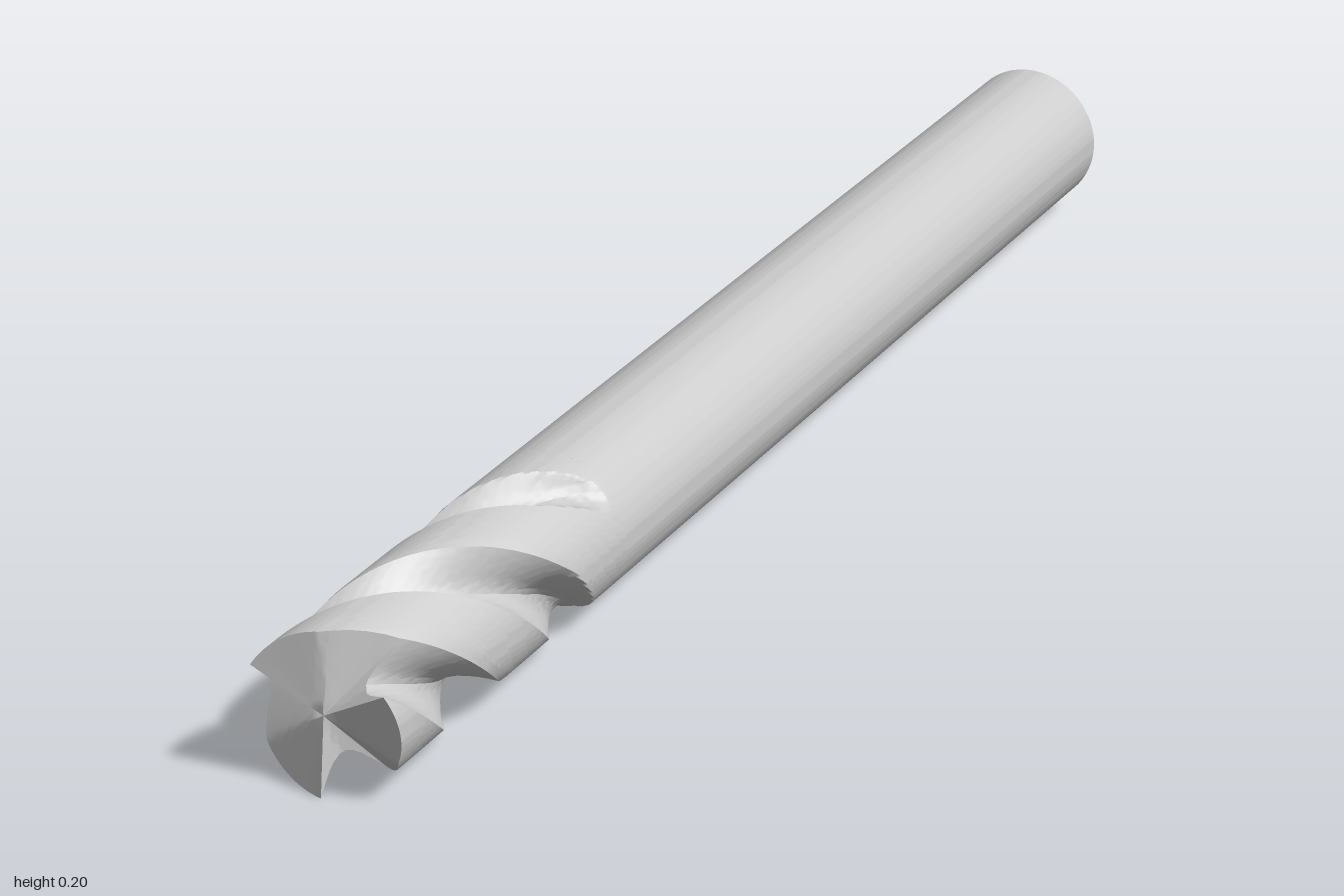
import * as THREE from 'three';
import { toCreasedNormals } from 'three/addons/utils/BufferGeometryUtils.js';

const R = 0.1, Z0 = 0.45, TWIST = 480, FLUTES = 3, PITCH = 120;
const COLS = 48, ROWS = 80, RINGS = 10;

// piecewise-linear lookup in a list of [x, value]
function lookup(list, x) {
  let i = 1;
  while (i < list.length - 1 && list[i][0] < x) i++;
  const [x0, y0] = list[i - 1], [x1, y1] = list[i];
  return y0 + (y1 - y0) * (x - x0) / (x1 - x0);
}

// flute section: degrees past the cutting edge, radius
const SECTION = [[0, 0.1], [5, 0.084], [10, 0.071], [15, 0.063], [22.5, 0.057], [30, 0.055],
  [37.5, 0.058], [45, 0.066], [52.5, 0.079], [62.5, 0.099], [70, 0.1], [120, 0.1]];
// end gash: degrees past the cutting edge, depth at the rim
const GASH = [[0, 0], [8, 0.05], [22, 0.085], [63, 0.022], [120, 0]];

// radius of the fluted part; the flutes run out towards the shank
function radius(off, z) {
  const f = Math.pow(THREE.MathUtils.clamp((z - 0.46) / 0.13, 0, 1), 0.6);
  return Math.min(R, lookup(SECTION, off) + 0.05 * (1 - f));
}

// depth of the tip surface below z = 1, slightly dished at the centre
function tipDepth(angle, r) {
  const a = THREE.MathUtils.euclideanModulo(angle, PITCH);
  return lookup(GASH, a) * r / R + 0.012 * (1 - r / R);
}

// depth at which a helical column meets the tip surface
function columnDepth(off) {
  const r = lookup(SECTION, off);
  let lo = 0, hi = 0.12;
  for (let i = 0; i < 30; i++) {
    const d = (lo + hi) / 2;
    if (tipDepth(off - TWIST * d, r) > d) lo = d; else hi = d;
  }
  return lo;
}

function cuttingGeometry() {
  const pos = [], index = [], n = COLS * FLUTES, rows = ROWS + RINGS;
  const put = (deg, r, z) => {
    const t = THREE.MathUtils.degToRad(deg + 30);
    pos.push(r * Math.cos(t), r * Math.sin(t), z);
  };
  for (let i = 0; i < n; i++) {
    const off = (i % COLS) * PITCH / COLS, base = Math.floor(i / COLS) * PITCH;
    const depth = columnDepth(off), end = 1 - depth;
    // helical side
    for (let j = 0; j <= ROWS; j++) {
      const z = Z0 + (end - Z0) * j / ROWS;
      put(base + off + TWIST * (z - 1), radius(off, z), z);
    }
    // tip face, running in to the centre
    const a = off - TWIST * depth, rim = radius(off, end);
    for (let k = 1; k <= RINGS; k++) {
      const r = rim * (1 - k / RINGS);
      put(base + a, r, 1 - tipDepth(a, r));
    }
  }
  const at = (i, j) => (i % n) * (rows + 1) + j;
  for (let i = 0; i < n; i++) {
    for (let j = 0; j < rows; j++) {
      index.push(at(i, j), at(i + 1, j), at(i, j + 1));
      if (j < rows - 1) index.push(at(i + 1, j), at(i + 1, j + 1), at(i, j + 1));
    }
  }
  const g = new THREE.BufferGeometry();
  g.setAttribute('position', new THREE.Float32BufferAttribute(pos, 3));
  g.setIndex(index);
  return toCreasedNormals(g, 0.5);
}

export function createModel() {
  const group = new THREE.Group();
  group.name = 'endMill';
  const material = new THREE.MeshStandardMaterial({ color: 0xcccccc });
  const add = (name, geometry) => {
    const mesh = new THREE.Mesh(geometry, material);
    mesh.name = name;
    mesh.position.y = R;
    group.add(mesh);
  };

  // round shank with a flat back end
  const profile = [[0, -1], [R, -1], [R, Z0]].map(p => new THREE.Vector2(...p));
  const shank = new THREE.LatheGeometry(profile, 144).rotateX(Math.PI / 2);
  add('shank', toCreasedNormals(shank, 0.6));

  // three helical flutes and the gashed tip
  add('flutedCutter', cuttingGeometry());
  return group;
}
